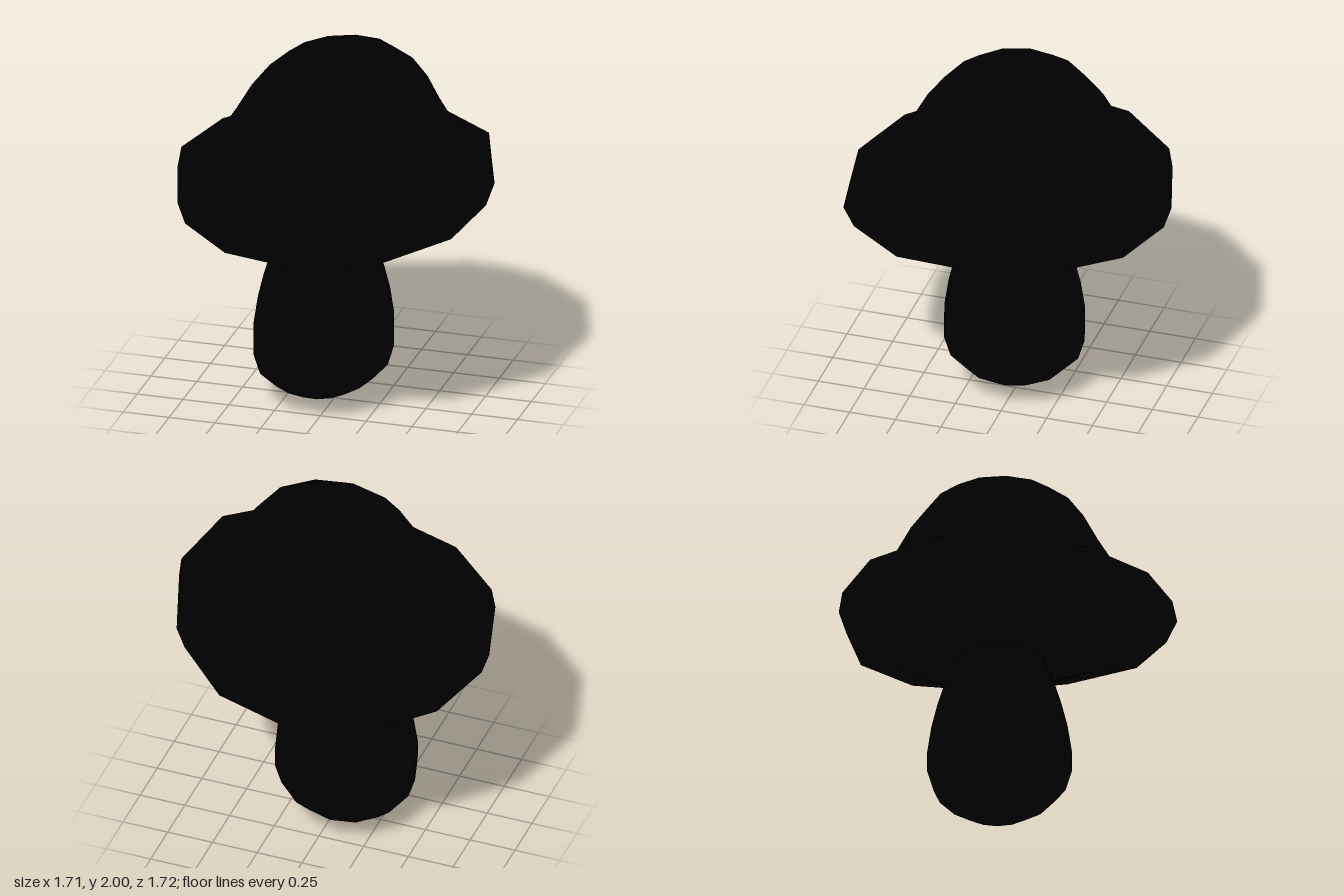
import * as THREE from 'three';
import { mergeVertices } from 'three/addons/utils/BufferGeometryUtils.js';

const SIDES = 12;
const material = new THREE.MeshStandardMaterial({ color: 0x000000 });

// Twelve-sided lathe whose points are nudged by a rule, with a smooth closed seam
function turned(name, profile, nudge) {
  const lathe = new THREE.LatheGeometry(profile.map(([r, y]) => new THREE.Vector2(r, y)), SIDES, 0.03);
  lathe.deleteAttribute('uv');
  lathe.deleteAttribute('normal');
  const geometry = mergeVertices(lathe, 1e-4);
  const position = geometry.attributes.position;
  const p = new THREE.Vector3();
  for (let i = 0; i < position.count; i++) {
    nudge(p.fromBufferAttribute(position, i));
    position.setXYZ(i, p.x, p.y, p.z);
  }
  geometry.computeVertexNormals();
  const mesh = new THREE.Mesh(geometry, material);
  mesh.name = name;
  return mesh;
}

export function createModel() {
  const group = new THREE.Group();
  group.name = 'mushroom';

  // Stem: plump bulb with a pointed base, leaning slightly
  group.add(turned('stem', [
    [0, 0], [0.15, 0.055], [0.26, 0.115], [0.345, 0.2], [0.38, 0.315], [0.38, 0.42],
    [0.357, 0.57], [0.325, 0.7], [0.29, 0.81], [0.24, 0.95], [0.15, 1.05], [0, 1.08],
  ], (p) => {
    p.y += 0.08 * p.x;
    p.x -= 0.05;
    p.z += 0.02;
  }));

  // Cap: bowl-shaped underside, thick rim, flared brim and round dome
  group.add(turned('cap', [
    [0, 0.925], [0.24, 0.94], [0.45, 0.985], [0.61, 1.055], [0.715, 1.11], [0.82, 1.115],
    [0.865, 1.24], [0.845, 1.355], [0.72, 1.415], [0.63, 1.475], [0.55, 1.605],
    [0.475, 1.745], [0.385, 1.865], [0.275, 1.945], [0.14, 1.988], [0, 2],
  ], (p) => {
    const r = Math.hypot(p.x, p.z);
    // the brim bulges toward the front left
    const toward = Math.max(0, Math.cos(Math.atan2(p.z, p.x) - Math.PI / 4));
    const bulge = 1 + (0.1 * toward ** 4 - 0.02) * (r / 0.86) ** 3;
    p.x *= bulge;
    p.z *= bulge;
    // tilt and a gentle saddle
    p.y += 0.055 * p.x - 0.022 * p.z + 0.035 * (p.x * p.x - p.z * p.z);
    p.x += 0.03 * Math.max(0, p.y - 1.3) / 0.5;
    p.z -= 0.01 * Math.max(0, p.y - 1.3) / 0.5;
  }));

  return group;
}
